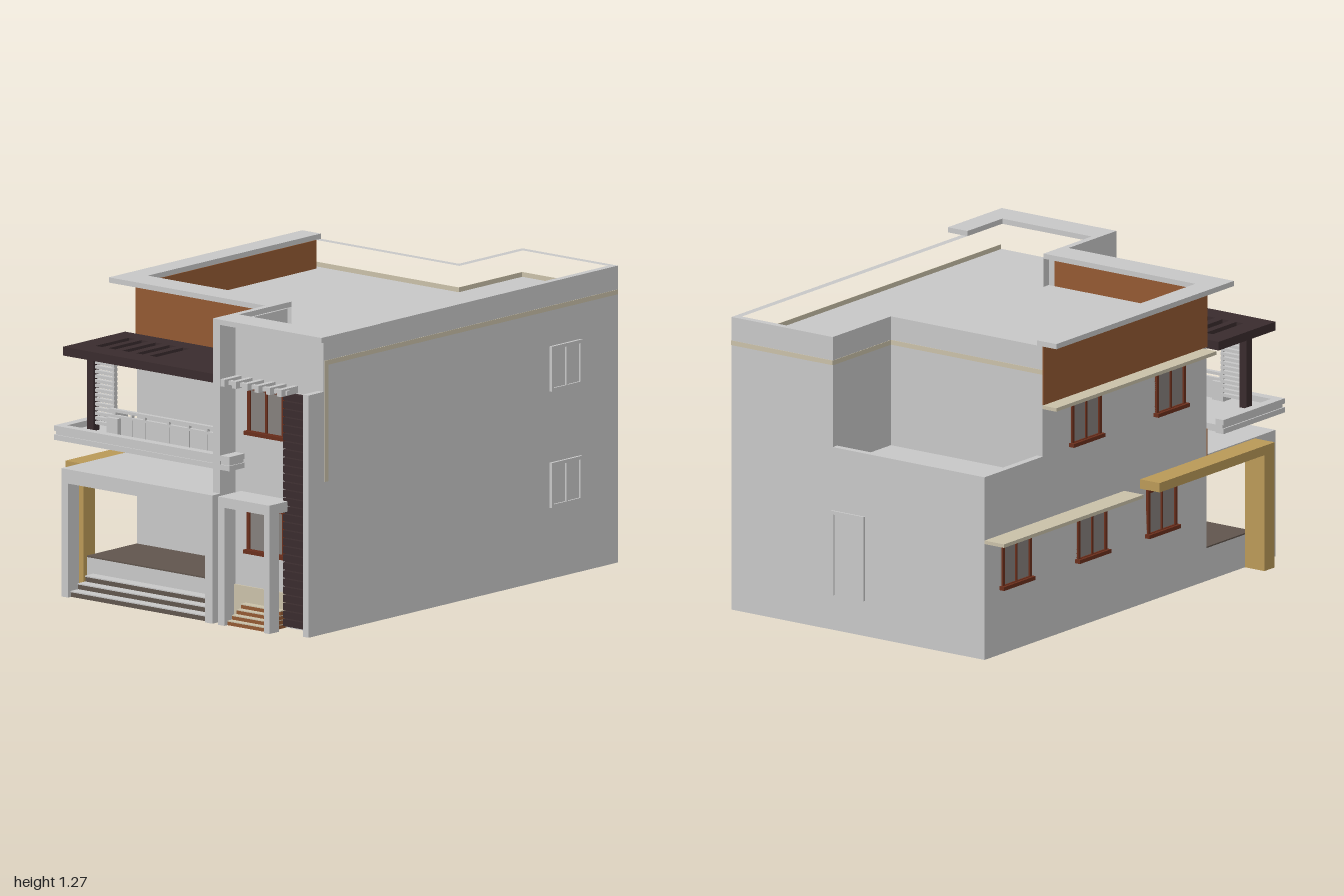
import * as THREE from 'three';

const mat = (name, color, side = THREE.FrontSide) => {
  const m = new THREE.MeshStandardMaterial({ color, side });
  m.name = name;
  return m;
};

export function createModel() {
  const root = new THREE.Group();
  root.name = 'house';
  const wall = mat('greyPlaster', 0xc9c9c9), orange = mat('rustOrange', 0x945a33);
  const dark = mat('darkTimber', 0x3a2c2e), tan = mat('tan', 0xbb9a58);
  const beige = mat('beige', 0xcbc2aa), door = mat('doorBrown', 0x63503d);
  const red = mat('redBrown', 0x6b2f1c), floor = mat('floorBrown', 0x61564e);
  const glass = mat('glassGrey', 0x86817d);

  // box from extents
  const box = (name, m, x0, x1, y0, y1, z0, z1, parent = root) => {
    const b = new THREE.Mesh(new THREE.BoxGeometry(x1 - x0, y1 - y0, z1 - z0), m);
    b.position.set((x0 + x1) / 2, (y0 + y1) / 2, (z0 + z1) / 2);
    b.name = name;
    parent.add(b);
    return b;
  };
  // plan outline given as [x, z], raised from y0 to y1
  const plan = (name, m, outline, y0, y1, hole) => {
    const pts = (a) => a.map(([x, z]) => new THREE.Vector2(x, -z));
    const s = new THREE.Shape(pts(outline));
    if (hole) s.holes.push(new THREE.Path(pts(hole)));
    const g = new THREE.ExtrudeGeometry(s, { depth: y1 - y0, bevelEnabled: false });
    g.rotateX(-Math.PI / 2).translate(0, y0, 0);
    const p = new THREE.Mesh(g, m);
    p.name = name;
    root.add(p);
  };

  // main body, parapet and low back terrace
  const outer = [[0.14, -1], [0.66, -1], [0.66, 0.855], [0.14, 0.855], [0.14, 0.525], [-0.64, 0.525], [-0.64, -0.6], [0.14, -0.6]];
  const inner = [[0.17, -0.97], [0.63, -0.97], [0.63, 0.82], [0.17, 0.82], [0.17, 0.49], [-0.61, 0.49], [-0.61, -0.57], [0.17, -0.57]];
  plan('mainWalls', wall, outer, 0, 1.13);
  plan('roofParapet', wall, outer, 1.13, 1.25, inner);
  box('backTerrace', wall, -0.64, 0.14, 0, 0.70, -1, -0.6);
  box('terraceParapetBack', wall, -0.64, 0.14, 0.70, 0.78, -1, -0.97);
  box('terraceParapetSide', wall, -0.64, -0.61, 0.70, 0.78, -0.97, -0.6);

  // roof edge flanges
  plan('roofFlangeLeft', wall, [[-0.71, -0.6], [-0.61, -0.6], [-0.61, 0.49], [0.14, 0.49], [0.14, 0.62], [-0.71, 0.62]], 1.25, 1.272);
  plan('roofFlangeRight', wall, [[0.14, 0.49], [0.17, 0.49], [0.17, 0.82], [0.63, 0.82], [0.63, 0.58], [0.73, 0.58], [0.73, 0.95], [0.14, 0.95]], 1.25, 1.272);

  // front column and side fin
  box('frontColumn', wall, 0.14, 0.18, 0, 1.25, 0.525, 0.95);
  box('frontFin', wall, 0.63, 0.66, 0, 1.02, 0.855, 0.95);

  // orange wall panels
  box('orangeFrontUpper', orange, -0.643, 0.14, 1.0, 1.25, 0.525, 0.529);
  box('orangeFrontLower', orange, -0.643, 0.14, 0.53, 0.65, 0.525, 0.529);
  box('orangeSide', orange, -0.644, -0.64, 1.0, 1.25, -0.6, 0.529);
  box('orangeInnerSide', orange, -0.61, -0.607, 1.13, 1.25, -0.57, 0.49);

  // thin beige trim lines
  box('trimRight', beige, 0.66, 0.662, 1.13, 1.15, -1, 0.85);
  box('trimRightDrop', beige, 0.66, 0.662, 0.64, 1.13, 0.825, 0.85);
  box('trimBack', beige, 0.14, 0.66, 1.13, 1.15, -1.002, -1);
  box('trimNotchSide', beige, 0.138, 0.14, 1.13, 1.15, -1, -0.6);
  box('trimNotchBack', beige, -0.64, 0.14, 1.13, 1.15, -0.602, -0.6);
  box('bayBase', beige, 0.18, 0.46, 0, 0.145, 0.855, 0.863);

  // slotted canopy
  const canopyHoles = [-0.61, -0.54, -0.465, -0.39, -0.315];
  let edge = -0.70;
  canopyHoles.forEach((x) => {
    box('canopySlat', dark, edge, x, 0.993, 1.03, 0.61, 0.82);
    edge = x + 0.037;
  });
  box('canopyPanel', dark, edge, 0.14, 0.993, 1.03, 0.61, 0.82);
  box('canopyFront', dark, -0.70, 0.14, 0.993, 1.03, 0.82, 0.92);
  box('canopyBack', dark, -0.70, 0.14, 0.993, 1.03, 0.529, 0.61);
  box('canopyPost', dark, -0.64, -0.605, 0.67, 0.993, 0.80, 0.84);

  // louvre screen beside the post
  for (let i = 0; i < 15; i++) box('louvreSlat', wall, -0.605, -0.5, 0.703 + i * 0.0195, 0.716 + i * 0.0195, 0.81, 0.83);
  box('louvreUpright', wall, -0.51, -0.5, 0.68, 0.993, 0.812, 0.828);

  // balcony with grooved rim
  box('balconyFloor', wall, -0.70, 0.14, 0.645, 0.675, 0.529, 0.92);
  const rim = (e, y0, y1) => {
    box('balconyRimFront', wall, -0.725 + e, 0.23 - e, y0, y1, 0.91, 0.95 - e);
    box('balconyRimLeft', wall, -0.725 + e, -0.685, y0, y1, 0.529, 0.91);
    box('balconyRimRight', wall, 0.18, 0.23 - e, y0, y1, 0.855, 0.91);
  };
  rim(0, 0.64, 0.662);
  rim(0.006, 0.662, 0.678);
  rim(0, 0.678, 0.70);

  // balcony railing
  box('railBlockLeft', wall, -0.5, -0.44, 0.675, 0.755, 0.83, 0.88);
  box('railBlockRight', wall, 0.08, 0.14, 0.675, 0.755, 0.83, 0.88);
  box('railPanel', wall, -0.44, 0.08, 0.675, 0.755, 0.852, 0.858);
  box('handRail', wall, -0.5, 0.14, 0.778, 0.79, 0.845, 0.865);
  box('midRail', wall, -0.5, 0.14, 0.755, 0.765, 0.848, 0.862);
  [-0.47, -0.38, -0.31, -0.18, -0.07, 0.03, 0.11].forEach((x) => box('railPost', wall, x - 0.005, x + 0.005, 0.675, 0.785, 0.848, 0.862));

  // porch portal, floor and steps
  box('porchRoof', wall, -0.64, 0.18, 0.48, 0.54, 0.529, 1);
  box('porchPillarLeft', wall, -0.64, -0.605, 0, 0.48, 0.93, 1);
  box('porchPillarRight', wall, 0.14, 0.18, 0, 0.48, 0.95, 1);
  box('porchBase', wall, -0.64, 0.14, 0, 0.14, 0.525, 0.84);
  box('porchFloor', floor, -0.64, 0.14, 0.14, 0.146, 0.525, 0.84);
  for (let i = 0; i < 3; i++) {
    const z = 0.98 - i * 0.045, y = i * 0.025;
    box('porchStep', floor, -0.605, 0.14, y, y + 0.02, 0.84, z);
    box('porchTread', wall, -0.605, 0.14, y + 0.02, y + 0.025, 0.84, z + 0.003);
  }

  // side portal and entry steps
  box('entryTop', wall, 0.21, 0.49, 0.497, 0.54, 0.855, 1);
  box('entryPillarLeft', wall, 0.21, 0.245, 0, 0.497, 0.94, 1);
  box('entryPillarRight', wall, 0.46, 0.49, 0, 0.497, 0.94, 1);
  for (let i = 0; i < 4; i++) {
    const z = 0.98 - i * 0.028, y = i * 0.019;
    box('entryStep', orange, 0.245, 0.46, y, y + 0.015, 0.863, z);
    box('entryTread', beige, 0.245, 0.46, y + 0.015, y + 0.019, 0.863, z);
  }

  // dark slatted strip beside the fin
  box('slatBacking', wall, 0.465, 0.63, 0.01, 0.995, 0.855, 0.862);
  for (let i = 0; i < 29; i++) box('facadeSlat', dark, 0.465, 0.63, 0.012 + i * 0.034, 0.041 + i * 0.034, 0.86, 0.885);

  // small pergola over the bay windows
  for (let i = 0; i < 6; i++) box('pergolaBar', wall, 0.19 + i * 0.0615, 0.213 + i * 0.0615, 0.995, 1.025, 0.855, 0.96);
  box('pergolaBeam', wall, 0.18, 0.53, 1.0, 1.017, 0.915, 0.935);

  // framed window facing +z, centred on the group origin
  const windowUnit = (name, w, h, x, y, z, turn, frame, pane, sill) => {
    const g = new THREE.Group();
    g.name = name;
    const a = w / 2, b = h / 2, t = 0.014, d = 0.012;
    box('pane', pane, -a, a, -b, b, 0, 0.004, g);
    [-1, 1].forEach((s) => {
      box('frameUpright', frame, s * (a - t / 2) - t / 2, s * (a - t / 2) + t / 2, -b, b, 0, d, g);
      box('frameBar', frame, -a, a, s * (b - t / 2) - t / 2, s * (b - t / 2) + t / 2, 0, d, g);
    });
    box('mullion', frame, -0.005, 0.005, -b, b, 0, d - 0.002, g);
    if (sill) box('sill', frame, -a - 0.008, a + 0.008, -b - 0.004, -b + 0.012, 0, 0.025, g);
    g.position.set(x, y, z);
    g.rotation.y = turn;
    root.add(g);
  };
  const Q = Math.PI / 2;
  windowUnit('bayWindowUpper', 0.2, 0.2, 0.355, 0.89, 0.855, 0, red, glass, true);
  windowUnit('bayWindowLower', 0.205, 0.2, 0.355, 0.39, 0.855, 0, red, glass, true);
  windowUnit('porchWindow', 0.135, 0.26, -0.15, 0.35, 0.525, 0, red, glass, true);
  [[0.38, -0.79], [0.38, -0.27], [0.38, 0.21], [0.885, -0.31], [0.885, 0.27]].forEach(([y, z]) =>
    windowUnit('sideWindow', 0.2, 0.2, -0.64, y, z, -Q, red, glass, true));
  [0.395, 0.885].forEach((y) => windowUnit('rightWindow', 0.195, 0.19, 0.66, y, -0.668, Q, wall, wall, false));

  // doors
  const doorUnit = (name, m, x0, x1, y0, y1) => {
    box(name, m, x0, x1, y0, y1, 0.525, 0.533);
    [x0, x1 - 0.012].forEach((x) => box(name + 'Jamb', m, x, x + 0.012, y0, y1, 0.525, 0.545));
    box(name + 'Head', m, x0, x1, y1 - 0.012, y1, 0.525, 0.545);
    box(name + 'Handle', wall, x1 - 0.03, x1 - 0.022, y0 + 0.17, y0 + 0.19, 0.533, 0.545);
  };
  doorUnit('porchDoor', door, -0.075, 0.095, 0.145, 0.48);
  doorUnit('balconyDoor', door, -0.09, 0.08, 0.675, 0.99);
  box('backDoor', wall, -0.01, 0.13, 0.15, 0.495, -1.003, -1);
  [-0.025, 0.13].forEach((x) => box('backDoorJamb', wall, x, x + 0.015, 0.15, 0.51, -1.008, -1));
  box('backDoorHead', wall, -0.025, 0.145, 0.495, 0.51, -1.008, -1);

  // awnings and tan side frame
  box('awningLower', beige, -0.74, -0.64, 0.495, 0.51, -1, -0.04);
  box('awningUpper', beige, -0.71, -0.64, 0.983, 0.998, -0.6, 0.5);
  box('sideFrameBeam', tan, -0.74, -0.64, 0.495, 0.535, 0.07, 0.86);
  box('sideFramePost', tan, -0.74, -0.64, 0, 0.495, 0.79, 0.86);
  return root;
}
